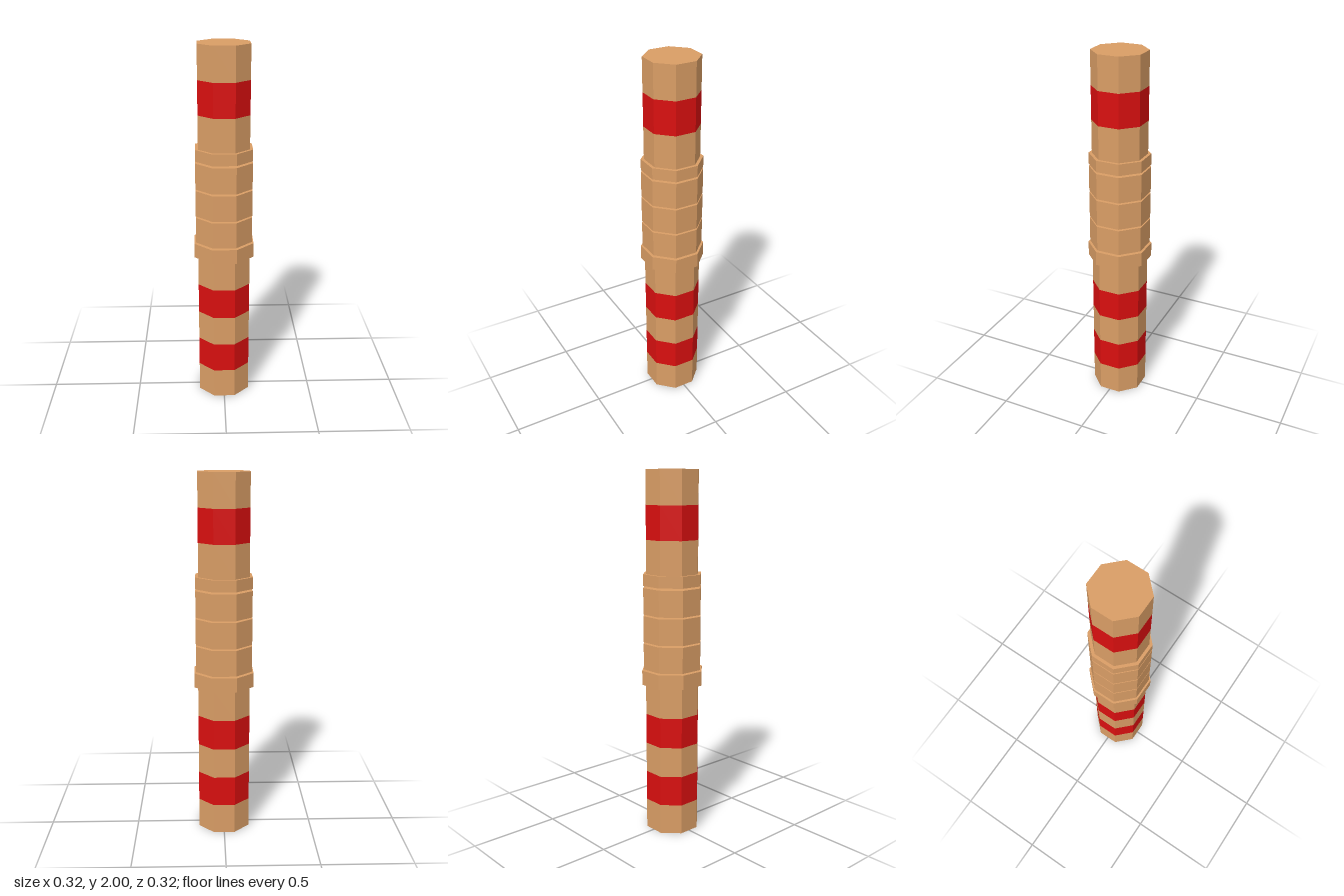
import * as THREE from 'three';

const wood = new THREE.MeshStandardMaterial({ color: 0xd99d65, flatShading: true });
const red = new THREE.MeshStandardMaterial({ color: 0xd90f0f, flatShading: true });

// Octagonal section with flats facing the axes; inner radii leave its ends open, 0 closes them
function octagon(name, apothem, y0, y1, material, innerBottom = 0, innerTop = 0) {
  const k = 1 / Math.cos(Math.PI / 8);
  const points = [[apothem, y0], [apothem, y1]];
  if (innerBottom < apothem) points.unshift([innerBottom, y0]);
  if (innerTop < apothem) points.push([innerTop, y1]);
  const profile = points.map(([r, y]) => new THREE.Vector2(r * k, y));
  const mesh = new THREE.Mesh(new THREE.LatheGeometry(profile, 8, Math.PI / 8), material);
  mesh.name = name;
  return mesh;
}

// Pole divided into equal bands, alternating wood and red
function bandedPole(name, apothem, y0, y1, count) {
  const pole = new THREE.Group();
  pole.name = name;
  const step = (y1 - y0) / count;
  for (let i = 0; i < count; i++) {
    pole.add(octagon(i % 2 ? 'redBand' : 'woodBand', apothem, y0 + i * step, y0 + (i + 1) * step,
      i % 2 ? red : wood, i === 0 ? 0 : apothem, i === count - 1 ? 0 : apothem));
  }
  return pole;
}

export function createModel() {
  const model = new THREE.Group();
  model.name = 'bandedStaff';

  // Striped lower and upper poles
  model.add(bandedPole('lowerPole', 0.142, 0, 0.847, 5));
  model.add(bandedPole('upperPole', 0.137, 1.456, 2, 3));

  // Collar below the grip and cap above it
  model.add(octagon('collar', 0.162, 0.847, 0.927, wood));
  model.add(octagon('gripCap', 0.153, 1.393, 1.456, wood));

  // Three grip rings separated by narrow gaps
  for (let i = 0; i < 3; i++) {
    const y = 0.934 + i * 0.1525;
    model.add(octagon('gripRing', 0.153, y, y + 0.143, wood));
  }

  // Thin rod joining the grip rings
  model.add(octagon('coreRod', 0.026, 0.92, 1.4, wood));

  return model;
}
